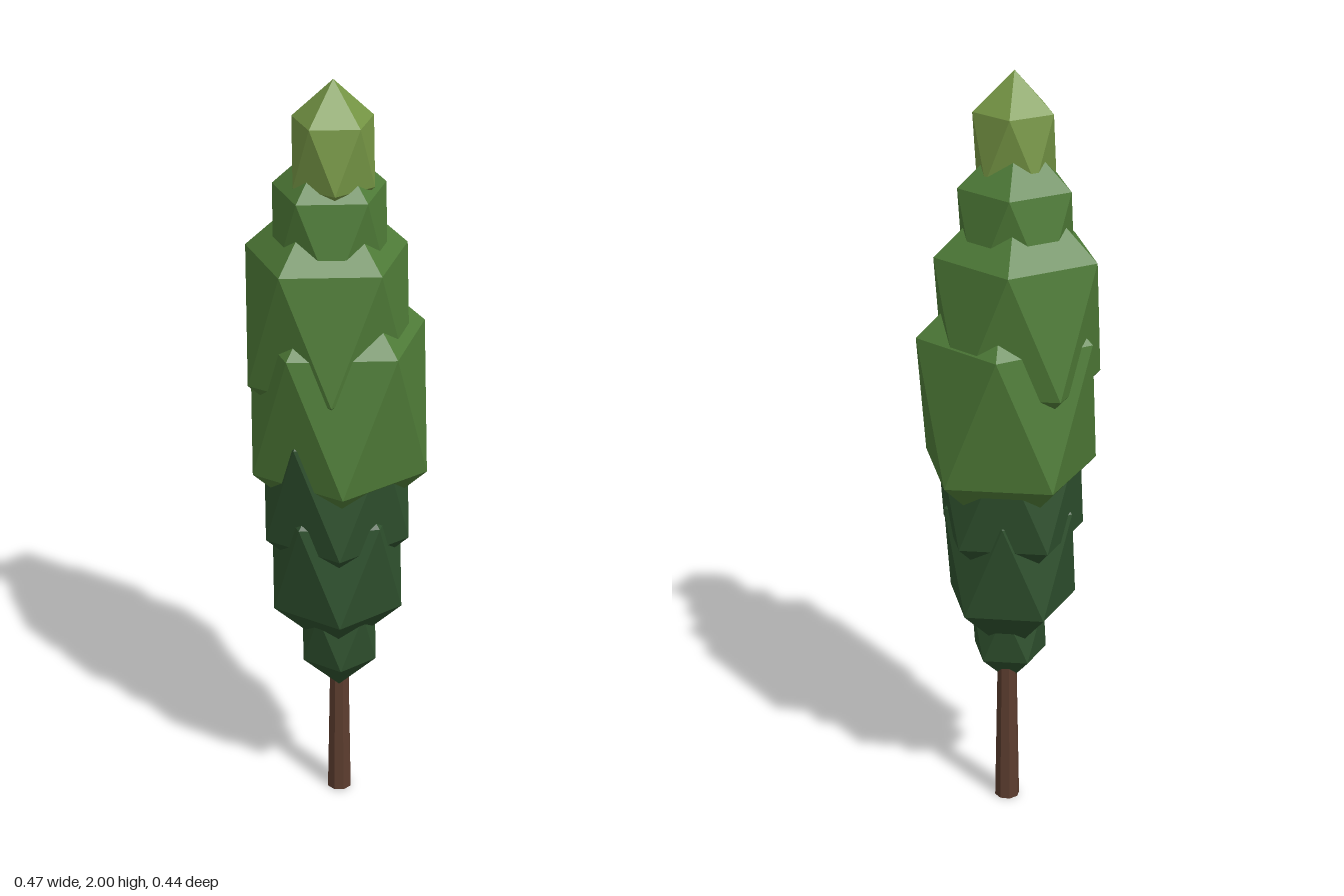
import * as THREE from 'three';

const material = (name, color) =>
  new THREE.MeshStandardMaterial({ name, color, flatShading: true });

// Faceted clump: a stretched icosahedron standing on one point, one upper corner facing +x
function clump(name, mat, radius, x, y, z) {
  const geo = new THREE.IcosahedronGeometry(radius, 0);
  geo.rotateZ(-Math.atan(2 / (1 + Math.sqrt(5))));
  geo.scale(1, 1.54, 1);
  const mesh = new THREE.Mesh(geo, mat);
  mesh.name = name;
  mesh.position.set(x, y, z);
  return mesh;
}

export function createModel() {
  const tree = new THREE.Group();
  tree.name = 'cypressTree';

  const bark = material('bark brown', 0x5c3d2f);
  const dark = material('dark green', 0x2f512e);
  const mid = material('mid green', 0x4f7c38);
  const light = material('light green', 0x769645);

  // Slim tapered trunk reaching into the foliage
  const trunk = new THREE.Mesh(new THREE.CylinderGeometry(0.023, 0.033, 0.55, 8), bark);
  trunk.name = 'trunk';
  trunk.position.set(0, 0.275, 0.005);
  tree.add(trunk);

  // Foliage from bottom to tip: material, radius, centre x, y, z
  const layers = [
    [dark, 0.112, -0.01, 0.505, 0.03],
    [dark, 0.195, -0.011, 0.725, 0.016],
    [dark, 0.216, -0.01, 0.94, 0.01],
    [mid, 0.26, 0.0, 1.158, 0.0],
    [mid, 0.238, -0.025, 1.385, -0.012],
    [mid, 0.165, -0.022, 1.605, -0.003],
    [light, 0.117, -0.022, 1.82, 0.021],
  ];
  layers.forEach(([mat, r, x, y, z], i) =>
    tree.add(clump(`foliageLayer${i + 1}`, mat, r, x, y, z)));

  return tree;
}
